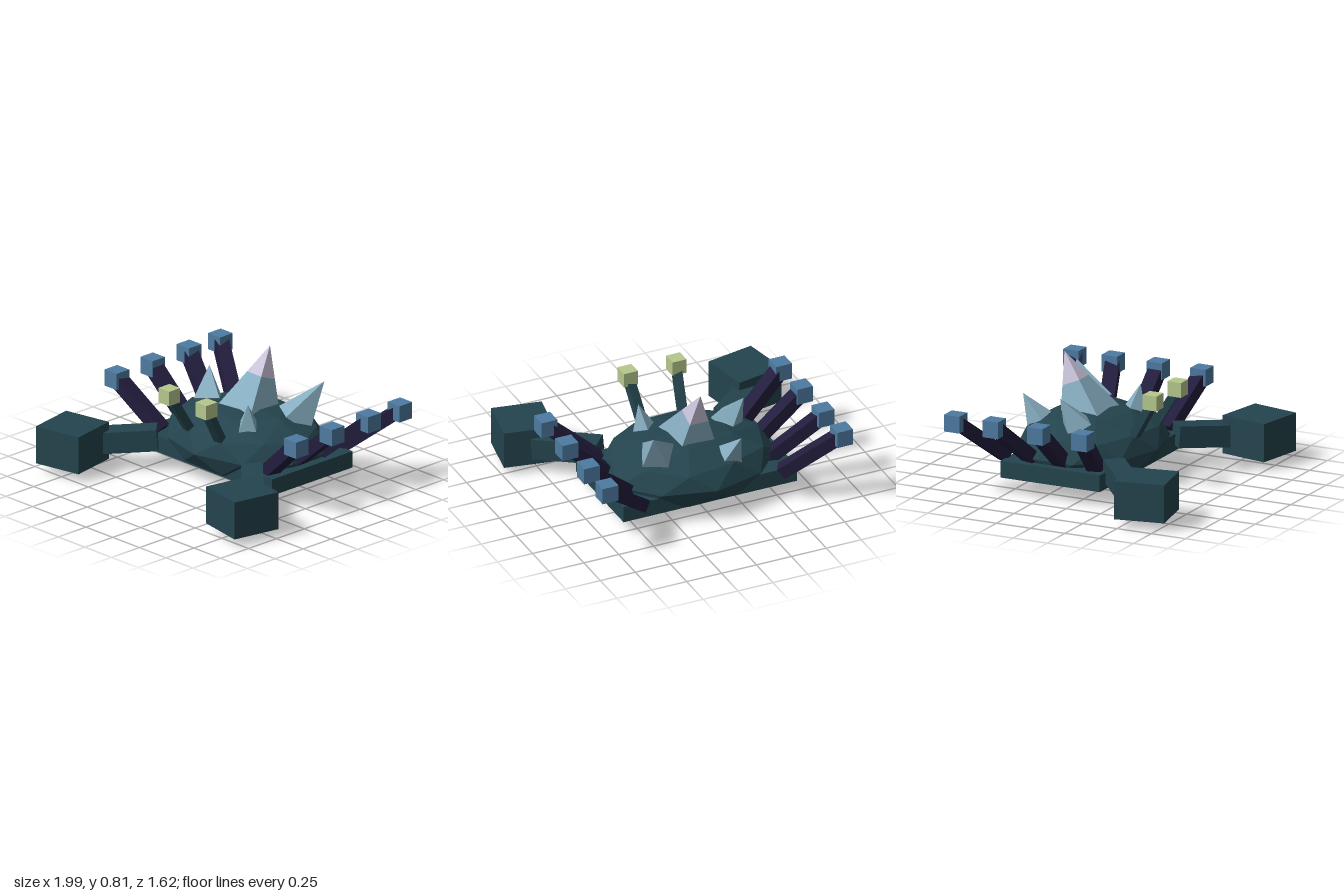
import * as THREE from 'three';

const mat = (name, color) => {
  const m = new THREE.MeshStandardMaterial({ color, flatShading: true });
  m.name = name;
  return m;
};
const V = (a) => new THREE.Vector3(...a);

export function createModel() {
  const group = new THREE.Group();
  const shell = mat('dark teal', 0x24444e);
  const purple = mat('dark purple', 0x221d3d);
  const blue = mat('steel blue', 0x4e7ba1);
  const green = mat('pale green', 0xb6c88d);
  const ice = mat('ice blue', 0x86adc0);
  const lilac = mat('lilac', 0xc9c2d8);

  const add = (name, geo, material, parent = group) => {
    const mesh = new THREE.Mesh(geo, material);
    mesh.name = name;
    parent.add(mesh);
    return mesh;
  };
  const box = (name, size, pos, material) => {
    const mesh = add(name, new THREE.BoxGeometry(...size), material);
    mesh.position.set(...pos);
    return mesh;
  };
  // Square bar running between two points
  const bar = (name, from, to, w, h, material) => {
    const a = V(from), b = V(to);
    const mesh = box(name, [w, h, a.distanceTo(b)], a.clone().add(b).multiplyScalar(0.5).toArray(), material);
    mesh.lookAt(b);
    return mesh;
  };

  // Faceted body: subdivided icosahedron with a vertex at each pole
  const verts = [0, 1, 0];
  for (const [y, offset] of [[0.4472, 0], [-0.4472, Math.PI / 5]]) {
    for (let k = 0; k < 5; k++) {
      const a = offset + k * Math.PI * 0.4;
      verts.push(0.8944 * Math.cos(a), y, -0.8944 * Math.sin(a));
    }
  }
  verts.push(0, -1, 0);
  const faces = [];
  for (let k = 0; k < 5; k++) {
    const n = (k + 1) % 5;
    const t0 = 1 + k, t1 = 1 + n, b0 = 6 + k, b1 = 6 + n;
    faces.push(0, t0, t1, t0, b0, t1, b0, b1, t1, 11, b1, b0);
  }
  const bodyGeo = new THREE.PolyhedronGeometry(verts, faces, 1, 1);
  bodyGeo.scale(0.6, 0.24, 0.47);
  bodyGeo.computeVertexNormals();
  add('body', bodyGeo, shell).position.set(0, 0.245, -0.19);

  // Flat slab around the body
  box('bodySlab', [1.24, 0.113, 0.725], [0, 0.163, -0.185], shell);

  // Limbs, mirrored left and right
  const legs = [[0.168, 0.09], [-0.152, -0.145], [-0.479, -0.365], [-0.76, -0.57]];
  for (const [side, s] of [['left', 1], ['right', -1]]) {
    bar(side + 'Arm', [s * 0.44, 0.217, 0.185], [s * 0.77, 0.18, 0.487], 0.142, 0.146, shell);
    box(side + 'Claw', [0.339, 0.257, 0.339], [s * 0.796, 0.192, 0.61], shell)
      .rotation.y = -s * 0.19;

    legs.forEach(([zTip, zRoot], i) => {
      bar(`${side}Leg${i + 1}`, [s * 0.5, 0.222, zRoot], [s * 0.84, 0.512, zTip], 0.096, 0.085, purple);
      box(`${side}LegTip${i + 1}`, [0.113, 0.113, 0.113], [s * 0.84, 0.511, zTip], blue);
    });

    bar(side + 'EyeStalk', [s * 0.147, 0.368, 0.19], [s * 0.17, 0.6, 0.325], 0.06, 0.055, shell);
    box(side + 'Eye', [0.1, 0.1, 0.1], [s * 0.174, 0.625, 0.336], green);
  }

  // Four-sided spikes; cut is the share of the length in the coloured tip
  const spike = (name, base, apex, half, roll, cut = 0) => {
    const a = V(base), dir = V(apex).sub(a);
    const len = dir.length(), r = half * Math.SQRT2;
    const g = new THREE.Group();
    g.name = name;
    g.position.copy(a);
    g.quaternion.setFromUnitVectors(new THREE.Vector3(0, 1, 0), dir.normalize());
    const lower = new THREE.CylinderGeometry(r * cut, r, len * (1 - cut), 4, 1, cut > 0);
    lower.rotateY(Math.PI / 4 + roll).translate(0, len * (1 - cut) / 2, 0);
    add(name + 'Base', lower, ice, g);
    if (cut > 0) {
      const tip = new THREE.ConeGeometry(r * cut, len * cut, 4);
      tip.rotateY(Math.PI / 4 + roll).translate(0, len * (1 - cut / 2), 0);
      add(name + 'Tip', tip, lilac, g);
    }
    group.add(g);
  };
  spike('centreSpike', [0, 0.385, -0.213], [0, 0.82, -0.4], 0.155, 0, 0.43);
  spike('backRightSpike', [-0.17, 0.39, -0.495], [-0.198, 0.56, -0.6], 0.065, -0.12);
  spike('rightSpike', [-0.307, 0.42, -0.145], [-0.39, 0.62, -0.23], 0.085, 0.63);
  spike('backLeftSpike', [0.285, 0.4, -0.345], [0.39, 0.65, -0.515], 0.1, -0.53);
  spike('frontLeftSpike', [0.213, 0.41, 0], [0.243, 0.592, 0.03], 0.06, 0.75);

  return group;
}
